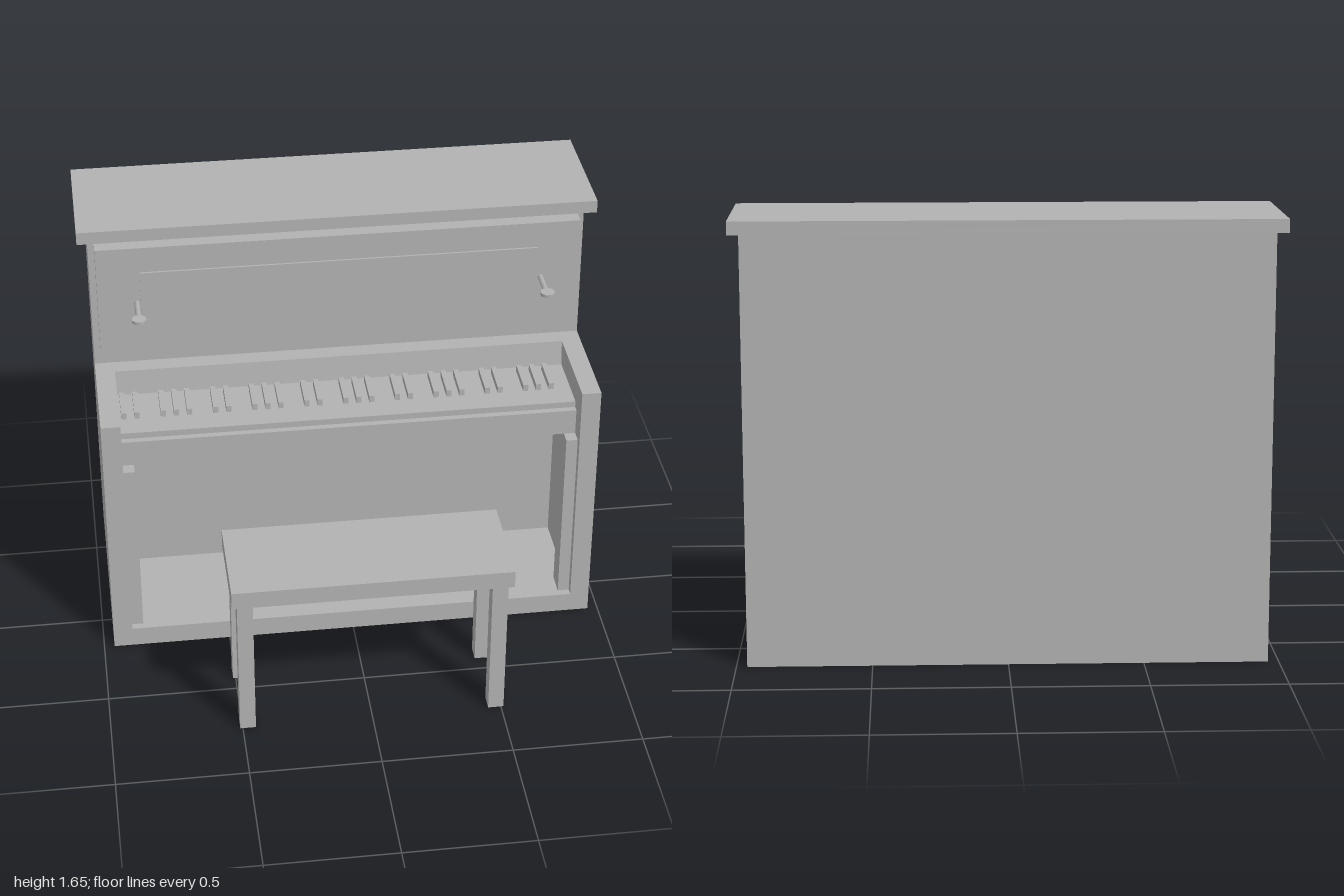
import * as THREE from 'three';

const grey = new THREE.MeshStandardMaterial({ color: 0xb2b2b2 });
grey.name = 'plain grey';

export function createModel() {
  const model = new THREE.Group();
  model.name = 'pianoAndBench';

  const add = (name, geometry, parent = model) => {
    const mesh = new THREE.Mesh(geometry, grey);
    mesh.name = name;
    parent.add(mesh);
    return mesh;
  };
  // Box given by its limits on each axis
  const box = (name, x0, x1, y0, y1, z0, z1, parent) => {
    const m = add(name, new THREE.BoxGeometry(x1 - x0, y1 - y0, z1 - z0), parent);
    m.position.set((x0 + x1) / 2, (y0 + y1) / 2, (z0 + z1) / 2);
    return m;
  };
  // Profile of [z, y] points extruded along x from x0 to x1
  const profile = (name, points, x0, x1) => {
    const shape = new THREE.Shape(points.map(([z, y]) => new THREE.Vector2(-z, y)));
    const g = new THREE.ExtrudeGeometry(shape, { depth: x1 - x0, bevelEnabled: false });
    g.rotateY(Math.PI / 2);
    g.translate(x0, 0, 0);
    return add(name, g);
  };

  // Case: stepped side panels, back body, lid and bottom board
  const side = [[0.175, 0], [-0.73, 0], [-0.73, 1.6], [-0.29, 1.6], [-0.29, 1.04], [0.175, 1.04]];
  profile('rightSidePanel', side, -0.96, -0.885);
  profile('leftSidePanel', side, 0.885, 0.96);
  box('backBody', -0.885, 0.885, 0, 1.6, -0.73, -0.29);
  box('lid', -1, 1, 1.6, 1.65, -0.76, -0.24);
  box('bottomBoard', -0.885, 0.885, 0, 0.08, -0.29, 0.175);

  // Upper front panel with thin music desk
  box('frontPanel', -0.935, 0.935, 1.12, 1.575, -0.29, -0.23);
  box('musicDesk', -0.77, 0.77, 1.245, 1.47, -0.23, -0.222);

  // Keybed, white key slab and slightly slanted fallboard
  box('keybed', -0.885, 0.885, 0.81, 0.915, -0.29, 0.095);
  box('whiteKeys', -0.885, 0.885, 0.915, 0.94, -0.29, 0.07);
  profile('fallboard', [[-0.205, 0.94], [-0.29, 0.94], [-0.29, 1.04], [-0.22, 1.04]], -0.885, 0.885);

  // Black keys in groups of two and three
  const blackKeys = new THREE.Group();
  blackKeys.name = 'blackKeys';
  model.add(blackKeys);
  for (let i = 0; i < 35; i++) {
    if (![0, 1, 3, 4, 5].includes(i % 7)) continue;
    const x = -0.865 + i * 0.0507;
    box('blackKey', x - 0.01, x + 0.01, 0.94, 0.967, -0.18, -0.03, blackKeys);
  }

  for (const s of [-1, 1]) {
    // Legs beneath the keybed
    const leg = box('keybedLeg', -0.0225, 0.0225, 0.08, 0.81, 0.055, 0.145);
    leg.position.x = s * 0.8625;

    // Pedals
    const pedal = box('pedal', -0.0375, 0.0375, 0.08, 0.091, -0.27, -0.135);
    pedal.position.x = s * 0.19;

    // Candle holders: arm and small dish
    const holder = new THREE.Group();
    holder.name = 'candleHolder';
    holder.position.x = s * 0.785;
    model.add(holder);
    const arm = add('holderArm', new THREE.CylinderGeometry(0.011, 0.011, 0.15, 8), holder);
    arm.rotation.x = Math.PI / 2;
    arm.position.set(0, 1.342, -0.147);
    const dish = add('holderDish', new THREE.CylinderGeometry(0.029, 0.029, 0.013, 8), holder);
    dish.rotation.y = Math.PI / 8;
    dish.position.set(0, 1.352, -0.074);
  }

  // Bench
  const bench = new THREE.Group();
  bench.name = 'bench';
  model.add(bench);
  box('benchSeat', -0.53, 0.53, 0.588, 0.658, 0.355, 0.76, bench);
  for (const x of [-0.48, 0.48]) {
    for (const z of [0.405, 0.71]) {
      box('benchLeg', x - 0.03, x + 0.03, 0, 0.588, z - 0.031, z + 0.031, bench);
    }
  }
  return model;
}
